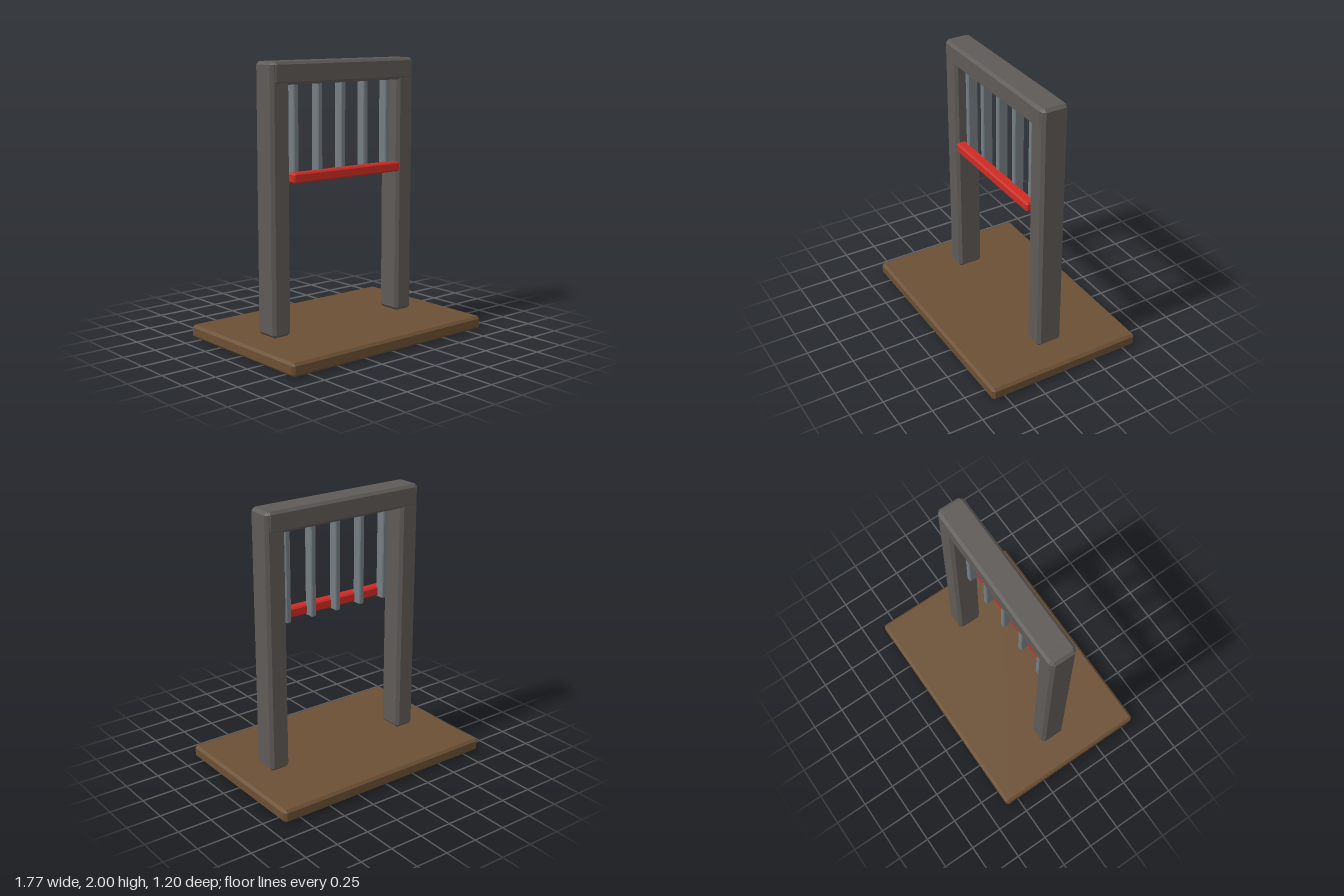
import * as THREE from 'three';
import { ConvexGeometry } from 'three/addons/geometries/ConvexGeometry.js';

// Box with every edge and corner cut flat, given by its [min, max] extents
function chamferBox(name, material, [x0, x1], [y0, y1], [z0, z1], c) {
  const hx = (x1 - x0) / 2, hy = (y1 - y0) / 2, hz = (z1 - z0) / 2;
  const points = [];
  for (const sx of [-1, 1]) for (const sy of [-1, 1]) for (const sz of [-1, 1]) {
    points.push(
      new THREE.Vector3(sx * hx, sy * (hy - c), sz * (hz - c)),
      new THREE.Vector3(sx * (hx - c), sy * hy, sz * (hz - c)),
      new THREE.Vector3(sx * (hx - c), sy * (hy - c), sz * hz)
    );
  }
  const mesh = new THREE.Mesh(new ConvexGeometry(points), material);
  mesh.name = name;
  mesh.position.set((x0 + x1) / 2, (y0 + y1) / 2, (z0 + z1) / 2);
  return mesh;
}

function flatColour(name, color) {
  const material = new THREE.MeshStandardMaterial({ color });
  material.name = name;
  return material;
}

export function createModel() {
  const wood = flatColour('brown wood', 0x6b4f34);
  const stone = flatColour('dark grey stone', 0x5e5a57);
  const iron = flatColour('grey iron', 0x747e83);
  const red = flatColour('red paint', 0xcc2b24);

  const model = new THREE.Group();
  model.name = 'gate';

  // Base slab
  model.add(chamferBox('base', wood, [-0.885, 0.885], [0, 0.095], [-0.6, 0.6], 0.018));

  // Posts and the beam across their tops
  const postZ = [-0.103, 0.091];
  model.add(chamferBox('rightPost', stone, [-0.655, -0.5], [0.095, 2], postZ, 0.022));
  model.add(chamferBox('leftPost', stone, [0.5, 0.655], [0.095, 2], postZ, 0.022));
  model.add(chamferBox('topBeam', stone, [-0.64, 0.64], [1.842, 2], [-0.109, 0.097], 0.02));

  // Raised grille: five bars hanging from the beam, joined by a red rail
  const grille = new THREE.Group();
  grille.name = 'grille';
  for (let i = 0; i < 5; i++) {
    const x = 0.01 + (i - 2) * 0.2125;
    grille.add(chamferBox('grilleBar', iron, [x - 0.021, x + 0.021], [1.16, 1.88], [-0.028, 0.048], 0.007));
  }
  grille.add(chamferBox('grilleRail', red, [-0.484, 0.505], [1.167, 1.238], [0.03, 0.11], 0.011));
  model.add(grille);

  return model;
}
